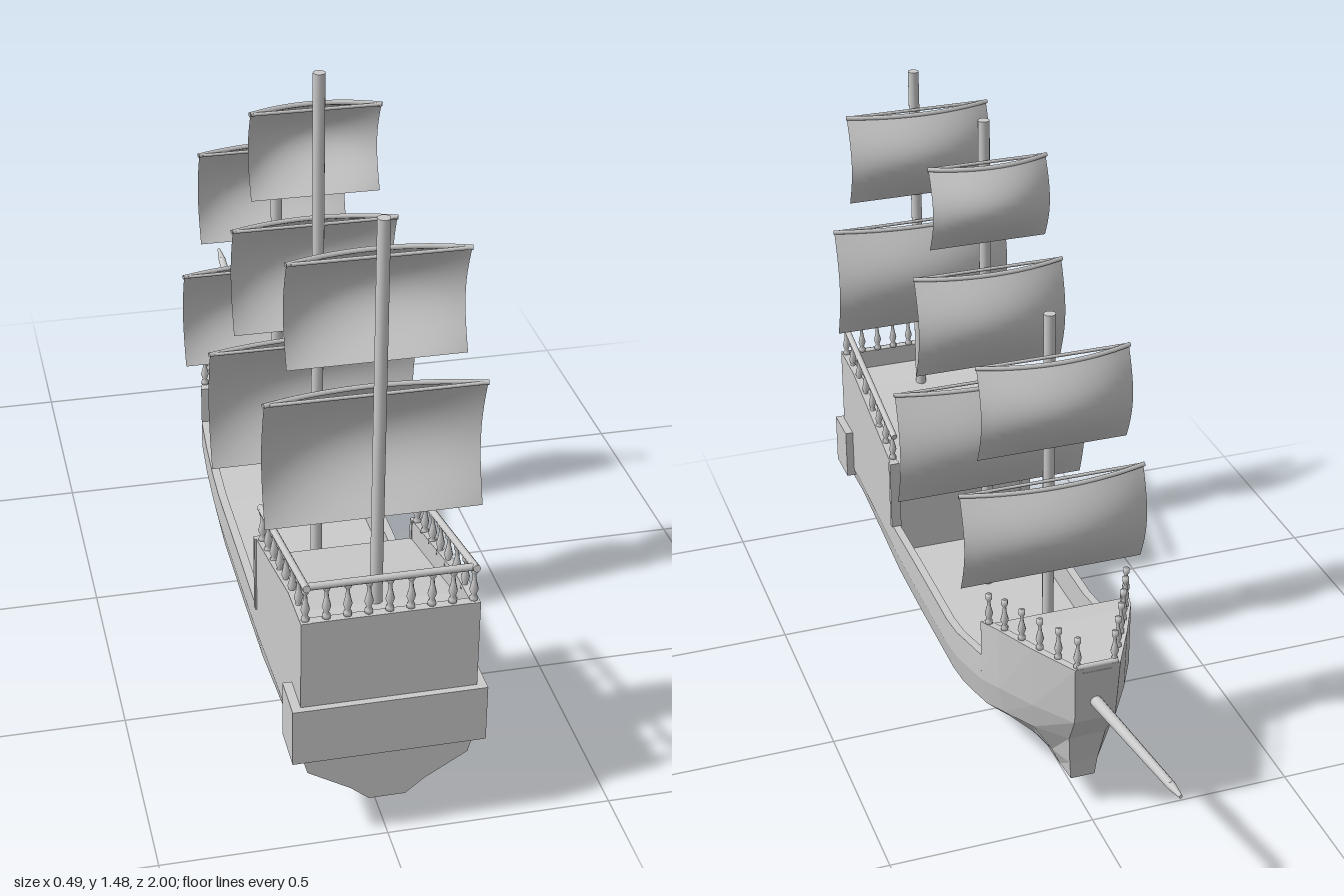
import * as THREE from 'three';

const flat = new THREE.MeshStandardMaterial({ color: 0xcccccc, flatShading: true, side: THREE.DoubleSide });
const smooth = new THREE.MeshStandardMaterial({ color: 0xcccccc, side: THREE.DoubleSide });

function add(parent, name, geometry, material = smooth, x = 0, y = 0, z = 0) {
  const mesh = new THREE.Mesh(geometry, material);
  mesh.name = name;
  mesh.position.set(x, y, z);
  parent.add(mesh);
  return mesh;
}

// Round bar between two points, tapering from r0 to r1
function bar(parent, name, from, to, r0, r1 = r0) {
  const a = new THREE.Vector3(...from), b = new THREE.Vector3(...to);
  const d = b.clone().sub(a);
  const mesh = add(parent, name, new THREE.CylinderGeometry(r1, r0, d.length(), 12));
  mesh.position.copy(a).addScaledVector(d, 0.5);
  mesh.quaternion.setFromUnitVectors(new THREE.Vector3(0, 1, 0), d.normalize());
  return mesh;
}

// Hull stations, stern to bow: z, keel y, gunwale y, deck drop, level scale, bow taper, stem rake
const STATIONS = [
  [0.985, 0.095, 0.570, 0.05, 0.70, 0, 0],
  [0.86, 0.090, 0.563, 0.05, 0.75, 0, 0],
  [0.68, 0.050, 0.515, 0.05, 0.88, 0, 0],
  [0.505, 0.010, 0.470, 0.05, 1, 0, 0],
  [0.505, 0.010, 0.280, 0.08, 1, 0, 0],
  [0.30, 0.005, 0.283, 0.08, 1, 0, 0],
  [0.03, 0.005, 0.283, 0.08, 1, 0, 0],
  [-0.05, 0.018, 0.295, 0.08, 1, 0, 0],
  [-0.14, 0.045, 0.323, 0.08, 1, 0, 0],
  [-0.23, 0.070, 0.345, 0.08, 1, 0.03, 0],
  [-0.23, 0.070, 0.440, 0.012, 1, 0.03, 0],
  [-0.30, 0.085, 0.455, 0.012, 1, 0.18, 0.1],
  [-0.40, 0.085, 0.455, 0.012, 1.02, 0.54, 0.4],
  [-0.515, 0.085, 0.457, 0.012, 1.06, 1, 1],
];
const LEVEL = [0, 0.048, 0.13, 0.205];
const FULL = [0.04, 0.08, 0.175, 0.19, 0.19];
const BOW = [0.03, 0.035, 0.045, 0.05, 0.055];
const RAKE = [0.085, 0.08, 0.06, 0.012, 0];

function hullGeometry() {
  const wall = 0.02, pos = [], index = [];
  // Closed section: up the outer skin, over the bulwark, across the deck and back down
  for (const [z, keel, top, drop, s, taper, rake] of STATIONS) {
    const half = FULL.map((w, k) => [
      THREE.MathUtils.lerp(w, BOW[k], taper),
      k < 4 ? keel + LEVEL[k] * s : top,
      z + RAKE[k] * rake,
    ]);
    const inner = half[4][0] - wall;
    half.push([inner, top, z], [inner, top - drop, z]);
    for (const p of half) pos.push(...p);
    for (const [x, y, zz] of half.slice().reverse()) pos.push(-x, y, zz);
  }
  const n = 14, last = (STATIONS.length - 1) * n;
  for (let i = 0; i < STATIONS.length - 1; i++) {
    for (let j = 0; j < n; j++) {
      const a = i * n + j, b = i * n + (j + 1) % n;
      index.push(a, a + n, b + n, a, b + n, b);
    }
  }
  // Transom and stem faces
  for (let k = 0; k < 4; k++) {
    const r = k, r1 = k + 1, l = n - 1 - k, l1 = n - 2 - k;
    index.push(r, r1, l1, r, l1, l);
    index.push(last + r, last + l1, last + r1, last + r, last + l, last + l1);
  }
  const g = new THREE.BufferGeometry();
  g.setAttribute('position', new THREE.Float32BufferAttribute(pos, 3));
  g.setIndex(index);
  const out = g.toNonIndexed();
  out.computeVertexNormals();
  return out;
}

// Turned baluster of height 1
const POST = new THREE.LatheGeometry(
  [[0, 0], [0.009, 0], [0.009, 0.1], [0.005, 0.16], [0.010, 0.34], [0.005, 0.6], [0.004, 0.78], [0.008, 0.86], [0.008, 1], [0, 1]]
    .map(([x, y]) => new THREE.Vector2(x, y)), 8);

function post(parent, x, y, z, h) {
  add(parent, 'railPost', POST, smooth, x, y, z).scale.y = h;
}

// Sail billowing toward the bow: u runs -1..1 across, v runs 0..1 upward
const billow = (u, v) => -0.035 * (1 - u * u) * v - Math.sin(Math.PI * v) * (0.033 + 0.037 * (1 - u * u));

function sail(parent, y0, y1, half, z) {
  const h = y1 - y0;
  const g = new THREE.PlaneGeometry(2, 1, 16, 14);
  const p = g.attributes.position;
  for (let i = 0; i < p.count; i++) {
    const u = p.getX(i), v = p.getY(i) + 0.5;
    p.setXYZ(i, u * half, y0 + v * h, z + billow(u, v));
  }
  g.computeVertexNormals();
  add(parent, 'sail', g);
  // Arched yard along the head of the sail
  const pts = [];
  for (let u = -1; u <= 1.01; u += 0.25) pts.push(new THREE.Vector3(u * half * 1.01, y1, z + billow(u, 1)));
  add(parent, 'yard', new THREE.TubeGeometry(new THREE.CatmullRomCurve3(pts), 24, 0.006, 6));
  bar(parent, 'yardBrace', [-half * 0.95, y1, z], [half * 0.95, y1, z], 0.004);
}

export function createModel() {
  const ship = new THREE.Group();
  ship.name = 'sailingShip';

  add(ship, 'hull', hullGeometry(), flat);
  add(ship, 'sternBulwark', new THREE.BoxGeometry(0.36, 0.06, 0.02), flat, 0, 0.54, 0.974);
  add(ship, 'sternGallery', new THREE.BoxGeometry(0.42, 0.135, 0.105), flat, 0, 0.293, 0.9475);

  // Poop railing: sloping sides and level stern rail
  const rails = new THREE.Group();
  rails.name = 'poopRailing';
  ship.add(rails);
  const topY = z => 0.57 - (0.98 - z) * 0.21;
  for (const s of [-1, 1]) {
    for (let i = 0; i < 8; i++) {
      const z = 0.97 - i * 0.0635;
      post(rails, s * 0.178, topY(z), z, 0.082);
    }
    bar(rails, 'sideRail', [s * 0.178, 0.655, 0.985], [s * 0.178, 0.548, 0.505], 0.008);
    add(rails, 'breakPost', new THREE.BoxGeometry(0.026, 0.19, 0.014), flat, s * 0.181, 0.376, 0.507);
  }
  for (let i = 1; i < 8; i++) post(rails, -0.178 + i * 0.0445, 0.57, 0.97, 0.082);
  bar(rails, 'sternRail', [-0.178, 0.652, 0.972], [0.178, 0.652, 0.972], 0.008);

  // Open posts around the forecastle
  const bow = new THREE.Group();
  bow.name = 'forecastlePosts';
  ship.add(bow);
  for (const s of [-1, 1]) {
    for (let i = 0; i < 6; i++) {
      const t = i / 5;
      post(bow, s * (0.172 - 0.127 * Math.pow(t, 1.1)), 0.445 + 0.01 * Math.min(1, i), -0.25 - 0.252 * t, 0.08);
    }
  }
  bar(bow, 'bowTrim', [-0.05, 0.458, -0.508], [0.05, 0.458, -0.508], 0.007);

  // Masts: z, foot, top, then sails as bottom, top, half width
  const masts = [
    ['mizzenMast', 0.855, 0.48, 1.405, [[1.075, 1.31, 0.187], [0.705, 1.0, 0.233]]],
    ['mainMast', 0.28, 0.18, 1.48, [[1.18, 1.385, 0.145], [0.85, 1.11, 0.187], [0.505, 0.808, 0.243]]],
    ['foreMast', -0.18, 0.22, 1.19, [[0.86, 1.095, 0.182], [0.525, 0.775, 0.226]]],
  ];
  for (const [name, z, y0, y1, sails] of masts) {
    const g = new THREE.Group();
    g.name = name;
    ship.add(g);
    bar(g, 'mastPole', [0, y0, z], [0, y1, z], 0.014);
    for (const [a, b, w] of sails) sail(g, a, b, w, z - 0.025);
  }

  // Bowsprit with a tapered tip
  bar(ship, 'bowsprit', [0, 0.345, -0.45], [0, 0.438, -0.95], 0.015, 0.01);
  bar(ship, 'bowspritTip', [0, 0.438, -0.95], [0, 0.446, -1], 0.01, 0.004);
  return ship;
}
